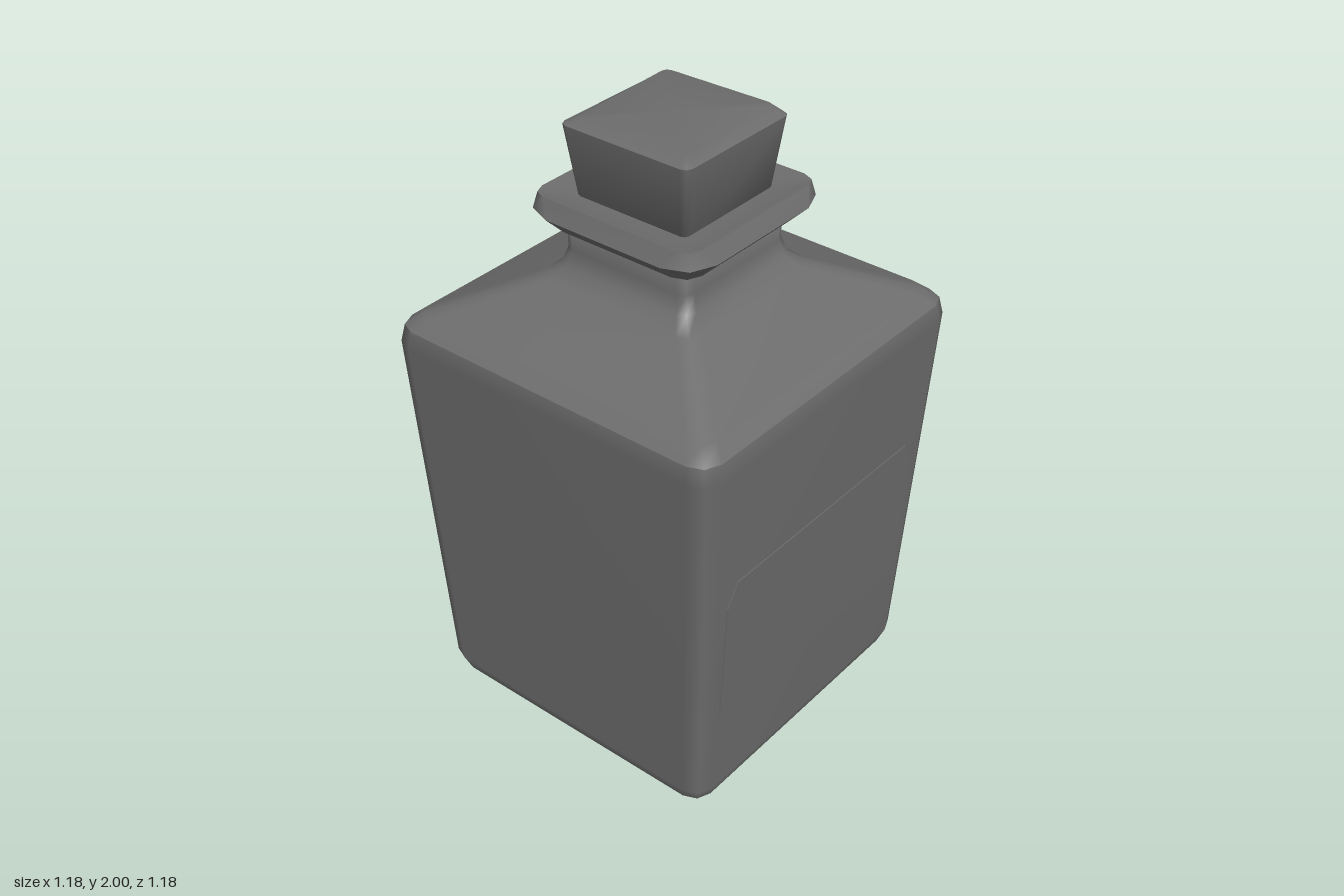
import * as THREE from 'three';

const material = new THREE.MeshStandardMaterial({ color: 0x6c6c6c });

// Square outline with two-segment rounded corners: half width w, corner radius r
function squareRing(w, r) {
  const points = [];
  for (let corner = 0; corner < 4; corner++) {
    const mid = Math.PI / 4 + corner * Math.PI / 2;
    const cx = Math.sign(Math.cos(mid)) * (w - r);
    const cz = Math.sign(Math.sin(mid)) * (w - r);
    for (let k = -1; k <= 1; k++) {
      const a = mid + k * Math.PI / 4;
      points.push([cx + r * Math.cos(a), cz + r * Math.sin(a)]);
    }
  }
  return points;
}

// Closed loft through [height, half width, corner radius] sections.
// Normals are area weighted, so large faces stay flat; a repeated section makes a sharp edge.
function loft(name, sections, adjust = (x, y) => y) {
  const positions = [], indices = [], n = 12;
  for (const [y, w, r] of sections) {
    for (const [x, z] of squareRing(w, r)) positions.push(x, adjust(x, y, z), z);
  }
  const last = sections.length - 1;
  for (let i = 0; i < last; i++) {
    if (sections[i] === sections[i + 1]) continue;
    for (let j = 0; j < n; j++) {
      const a = i * n + j, b = i * n + (j + 1) % n;
      indices.push(a, a + n, b, b, a + n, b + n);
    }
  }
  // End caps
  const bottom = positions.length / 3;
  positions.push(0, adjust(0, sections[0][0], 0), 0);
  positions.push(0, adjust(0, sections[last][0], 0), 0);
  for (let j = 0; j < n; j++) {
    const k = (j + 1) % n;
    indices.push(bottom, j, k, bottom + 1, last * n + k, last * n + j);
  }
  const geometry = new THREE.BufferGeometry();
  geometry.setAttribute('position', new THREE.Float32BufferAttribute(positions, 3));
  geometry.setIndex(indices);
  geometry.computeVertexNormals();
  const mesh = new THREE.Mesh(geometry, material);
  mesh.name = name;
  return mesh;
}

export function createModel() {
  const group = new THREE.Group();
  group.name = 'bottle';

  // Tapered body, sloping shoulder and neck
  const foot = [0.02, 0.51, 0.06], shoulder = [1.345, 0.582, 0.07];
  group.add(loft('body', [
    [0, 0.46, 0.04], foot, foot, [0.07, 0.53, 0.065],
    [1.29, 0.592, 0.07], shoulder, shoulder, [1.38, 0.54, 0.06],
    [1.49, 0.29, 0.05], [1.53, 0.245, 0.04], [1.58, 0.228, 0.035], [1.68, 0.228, 0.035],
  ]));

  // Flared lip around the mouth, its top dished slightly inward
  const lipBase = [1.65, 0.258, 0.06], lipEdge = [1.71, 0.318, 0.11], lipTop = [1.76, 0.29, 0.05];
  group.add(loft('lip', [
    lipBase, lipBase, lipEdge, lipEdge, lipTop, lipTop, [1.745, 0.21, 0.03],
  ]));

  // Stopper, wider upward, with a slightly tilted bevelled top
  const stopperEdge = [1.967, 0.228, 0.025];
  group.add(loft('stopper', [
    [1.7, 0.193, 0.015], stopperEdge, stopperEdge, [1.99, 0.195, 0.02],
  ], (x, y, z) => (y > 1.98 ? y + 0.03 * x + 0.015 * z : y)));

  // Thin label with cut corners, lying on the leaning front face
  const w = 0.46, h = 0.265, c = 0.04;
  const outline = [[w - c, -h], [w, c - h], [w, h - 2 * c], [w - c, h],
    [c - w, h], [-w, h - 2 * c], [-w, c - h], [c - w, -h]];
  const shape = new THREE.Shape(outline.map(([x, y]) => new THREE.Vector2(x, y)));
  const label = new THREE.Mesh(
    new THREE.ExtrudeGeometry(shape, { depth: 0.006, bevelEnabled: false }), material);
  label.name = 'label';
  const slope = (0.592 - 0.53) / (1.29 - 0.07);
  label.position.set(0, 0.615, 0.53 + (0.615 - 0.07) * slope - 0.003);
  label.rotation.x = Math.atan(slope);
  group.add(label);

  return group;
}
